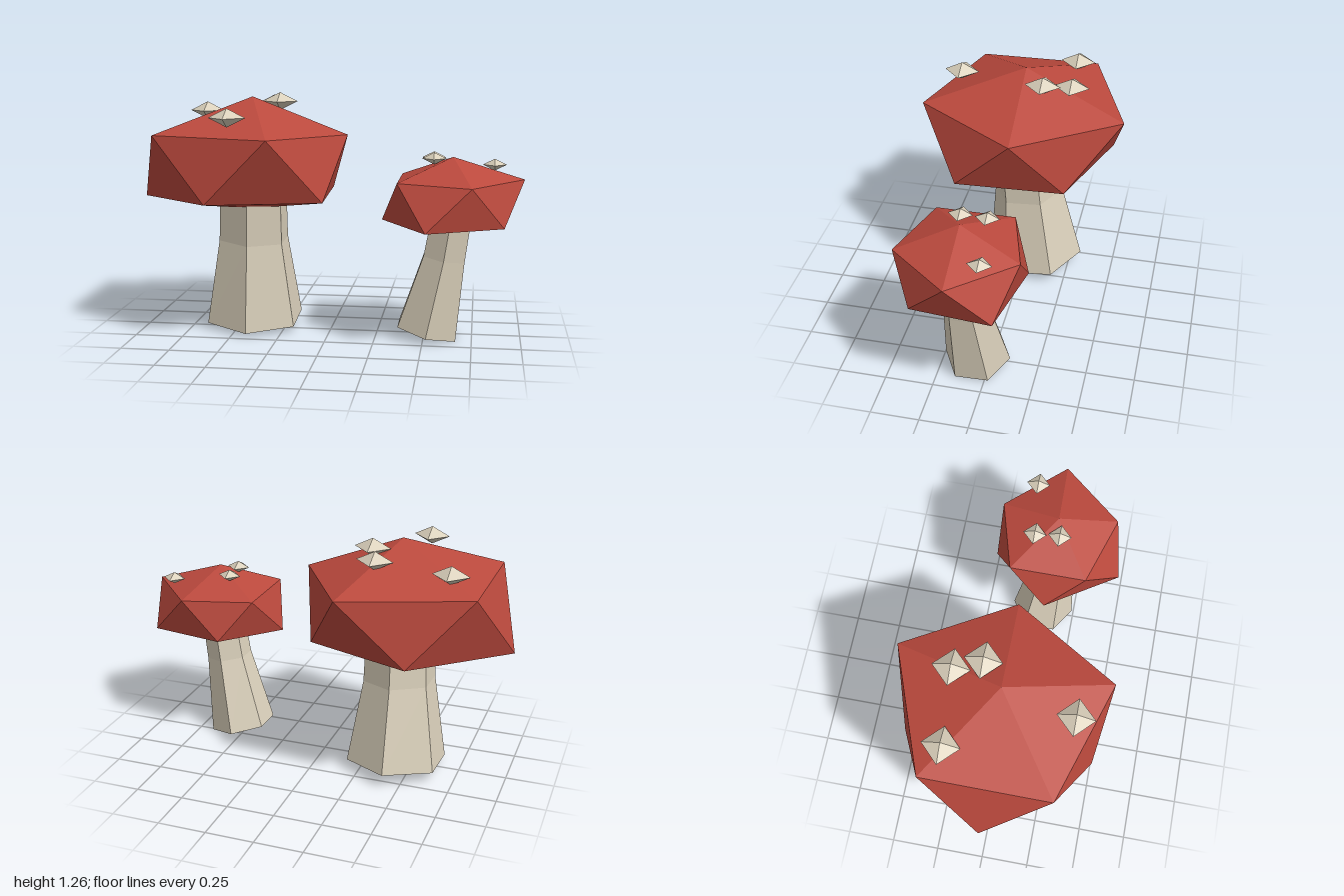
import * as THREE from 'three';

const capRed = new THREE.MeshStandardMaterial({ color: 0xbb493d });
capRed.name = 'cap red';
const cream = new THREE.MeshStandardMaterial({ color: 0xd9cfba, side: THREE.DoubleSide });
cream.name = 'cream';

function named(name, geometry, material) {
  const mesh = new THREE.Mesh(geometry, material);
  mesh.name = name;
  return mesh;
}

// Faceted cap: apex, upper ring, lower ring and bottom point, twenty triangles
function capGeometry({ apex, upper, lower, bottom }) {
  const points = [];
  const n = upper.length;
  for (let i = 0; i < n; i++) {
    const j = (i + 1) % n;
    points.push(
      apex, upper[j], upper[i],
      upper[i], upper[j], lower[i],
      lower[i], upper[j], lower[j],
      bottom, lower[i], lower[j],
    );
  }
  const geometry = new THREE.BufferGeometry();
  geometry.setAttribute('position', new THREE.Float32BufferAttribute(points.flat(), 3));
  geometry.computeVertexNormals();
  return geometry;
}

// Six-sided open stem through three tilted rings, listed from the top
function stemGeometry(rings) {
  const tube = new THREE.CylinderGeometry(1, 1, 2, 6, rings.length - 1, true);
  const p = tube.attributes.position;
  for (let i = 0; i < p.count; i++) {
    const { c, r, slope } = rings[Math.round(1 - p.getY(i))];
    const dx = p.getX(i) * r;
    const dz = p.getZ(i) * r;
    p.setXYZ(i, c[0] + dx, c[1] + slope[0] * dx + slope[1] * dz, c[2] + dz);
  }
  const geometry = tube.toNonIndexed();
  geometry.computeVertexNormals();
  return geometry;
}

function mushroom(name, { cap, stem, spots, spotSize }) {
  const group = new THREE.Group();
  group.name = name;
  group.add(named('cap', capGeometry(cap), capRed));
  group.add(named('stem', stemGeometry(stem), cream));
  // Flattened diamond spots
  for (const position of spots) {
    const spot = named('spot', new THREE.OctahedronGeometry(1, 0), cream);
    spot.scale.set(spotSize, spotSize * 0.5, spotSize);
    spot.position.set(...position);
    group.add(spot);
  }
  return group;
}

export function createModel() {
  const model = new THREE.Group();
  model.name = 'mushrooms';

  model.add(mushroom('largeMushroom', {
    cap: {
      apex: [-0.41, 1.24, 0.01],
      upper: [[0.09, 1.045, 0], [-0.24, 1.06, 0.535], [-0.86, 1.06, 0.34], [-0.86, 1.07, -0.31], [-0.23, 1.07, -0.54]],
      lower: [[0, 0.73, 0.31], [-0.56, 0.735, 0.49], [-1, 0.705, 0], [-0.56, 0.735, -0.46], [-0.02, 0.735, -0.27]],
      bottom: [-0.41, 0.65, 0.01],
    },
    stem: [
      { c: [-0.41, 0.7, 0.01], r: 0.185, slope: [0, -0.05] },
      { c: [-0.415, 0.485, -0.01], r: 0.192, slope: [-0.04, -0.07] },
      { c: [-0.42, 0.043, -0.05], r: 0.268, slope: [-0.01, -0.1] },
    ],
    spots: [[-0.71, 1.15, -0.22], [-0.34, 1.19, -0.245], [-0.285, 1.21, -0.1], [-0.465, 1.155, 0.375]],
    spotSize: 0.094,
  }));

  model.add(mushroom('smallMushroom', {
    cap: {
      apex: [0.64, 0.95, 0.11],
      upper: [[1, 0.84, 0.1], [0.74, 0.83, 0.415], [0.37, 0.835, 0.3], [0.37, 0.835, -0.1], [0.73, 0.835, -0.2]],
      lower: [[0.9, 0.62, 0.3], [0.52, 0.615, 0.47], [0.28, 0.62, 0.1], [0.53, 0.63, -0.2], [0.935, 0.62, -0.11]],
      bottom: [0.64, 0.58, 0.11],
    },
    stem: [
      { c: [0.635, 0.63, 0.11], r: 0.115, slope: [-0.1, 0] },
      { c: [0.603, 0.43, 0.1], r: 0.12, slope: [-0.15, -0.02] },
      { c: [0.518, 0.034, 0.068], r: 0.172, slope: [-0.22, -0.03] },
    ],
    spots: [[0.54, 0.935, 0], [0.545, 0.943, 0.13], [0.85, 0.897, -0.035]],
    spotSize: 0.061,
  }));

  return model;
}
